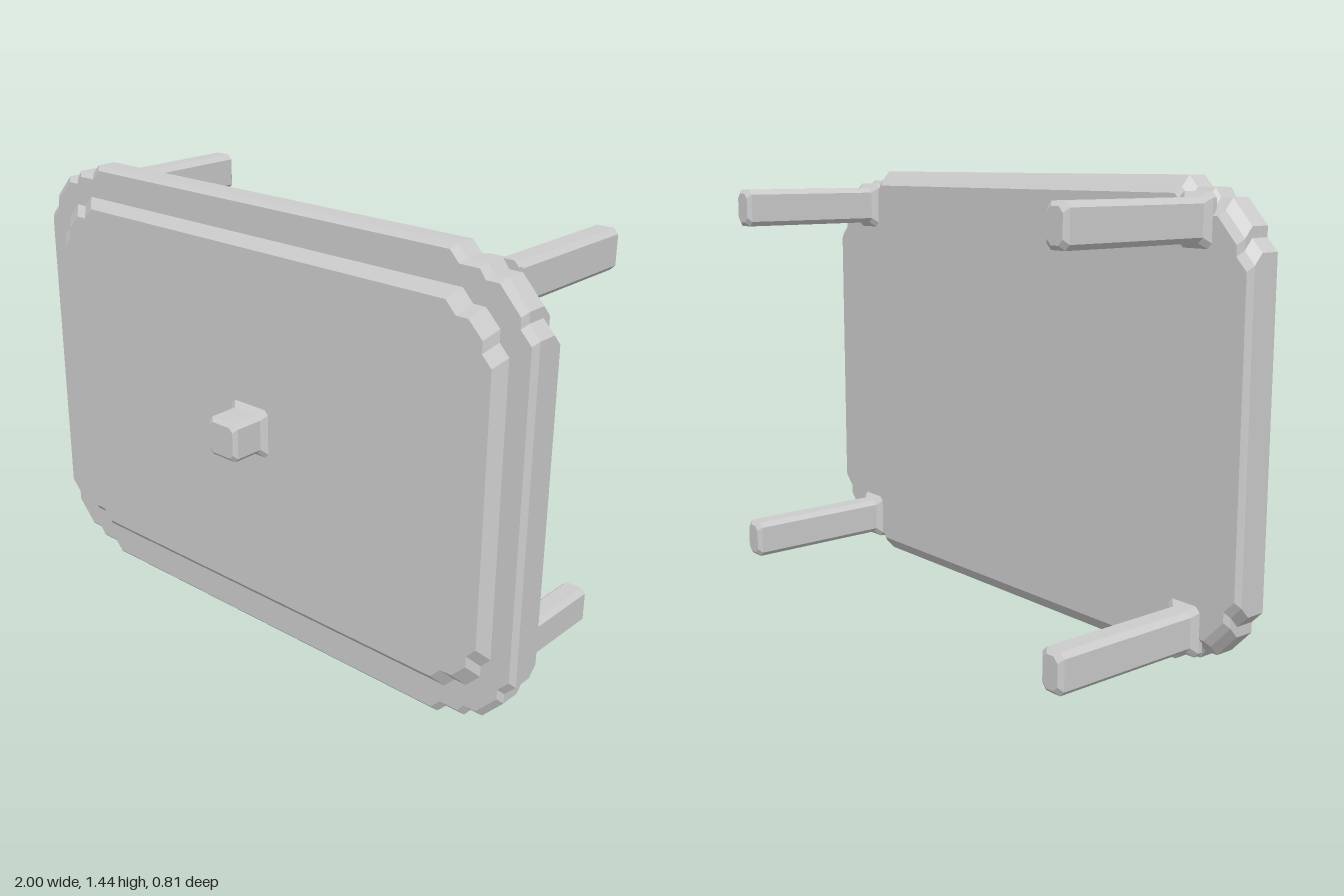
import * as THREE from 'three';

// Lofts a four-way symmetric outline along z. `corner` lists the first-quadrant
// points from side to top; each level is [z, insetX, insetY], from back to front.
function loft(name, corner, levels) {
  const back = [...corner].reverse();
  const ring = ([z, dx, dy]) => {
    const at = (pts, sx, sy) => pts.map(([x, y]) => new THREE.Vector3(sx * (x - dx), sy * (y - dy), z));
    return [...at(corner, 1, 1), ...at(back, -1, 1), ...at(corner, -1, -1), ...at(back, 1, -1)];
  };
  const rings = levels.map(ring);
  const n = rings[0].length;
  const tris = [];
  const first = rings[0], last = rings[rings.length - 1];
  const c0 = new THREE.Vector3(0, 0, first[0].z);
  const c1 = new THREE.Vector3(0, 0, last[0].z);
  for (let i = 0; i < n; i++) {
    const j = (i + 1) % n;
    for (let k = 0; k < rings.length - 1; k++) {
      const a = rings[k], b = rings[k + 1];
      tris.push(a[i], a[j], b[j], a[i], b[j], b[i]);
    }
    tris.push(c0, first[j], first[i], c1, last[i], last[j]);
  }
  const geometry = new THREE.BufferGeometry().setFromPoints(tris);
  geometry.computeVertexNormals();
  const mesh = new THREE.Mesh(geometry, new THREE.MeshStandardMaterial({ color: 0xcccccc, flatShading: true }));
  mesh.name = name;
  return mesh;
}

// Rectangle corner with a small chamfer
const chamfered = (w, h, c) => [[w, h - c], [w - c, h]];

export function createModel() {
  const group = new THREE.Group();
  group.name = 'panelWithLegs';
  const midY = 0.72;

  // Rim plate with stepped corners and a wide chamfer along its back top and bottom
  const rim = loft('rimPlate', [
    [1, 0.515], [0.963, 0.553], [0.963, 0.585], [0.893, 0.66],
    [0.85, 0.66], [0.83, 0.687], [0.765, 0.687], [0.733, 0.72],
  ], [
    [0.125, 0.015, 0.05], [0.14, 0, 0.033], [0.17, 0, 0],
    [0.235, 0, 0], [0.25, 0.015, 0.015],
  ]);
  rim.position.y = midY;
  group.add(rim);

  // Raised front panel
  const panel = loft('frontPanel', [
    [0.92, 0.454], [0.888, 0.488], [0.888, 0.524],
    [0.84, 0.573], [0.8, 0.573], [0.765, 0.61],
  ], [[0.24, 0, 0], [0.25, 0, 0], [0.28, 0.032, 0.032]]);
  panel.position.y = midY + 0.002;
  group.add(panel);

  // Knob with a flared foot
  const knob = loft('knob', chamfered(0.062, 0.063, 0.014), [
    [0.27, -0.017, -0.017], [0.28, -0.017, -0.017], [0.297, 0, 0],
    [0.393, 0, 0], [0.405, 0.012, 0.012],
  ]);
  knob.position.y = midY + 0.002;
  group.add(knob);

  // Four legs, flared where they meet the back
  for (const x of [-0.8, 0.8]) {
    for (const y of [0.1275, 1.3175]) {
      const leg = loft('leg', chamfered(0.043, 0.0625, 0.016), [
        [-0.405, 0.013, 0.013], [-0.392, 0, 0], [0.107, 0, 0],
        [0.125, -0.018, -0.016], [0.14, -0.018, -0.016],
      ]);
      leg.position.set(x, y, 0);
      group.add(leg);
    }
  }
  return group;
}
